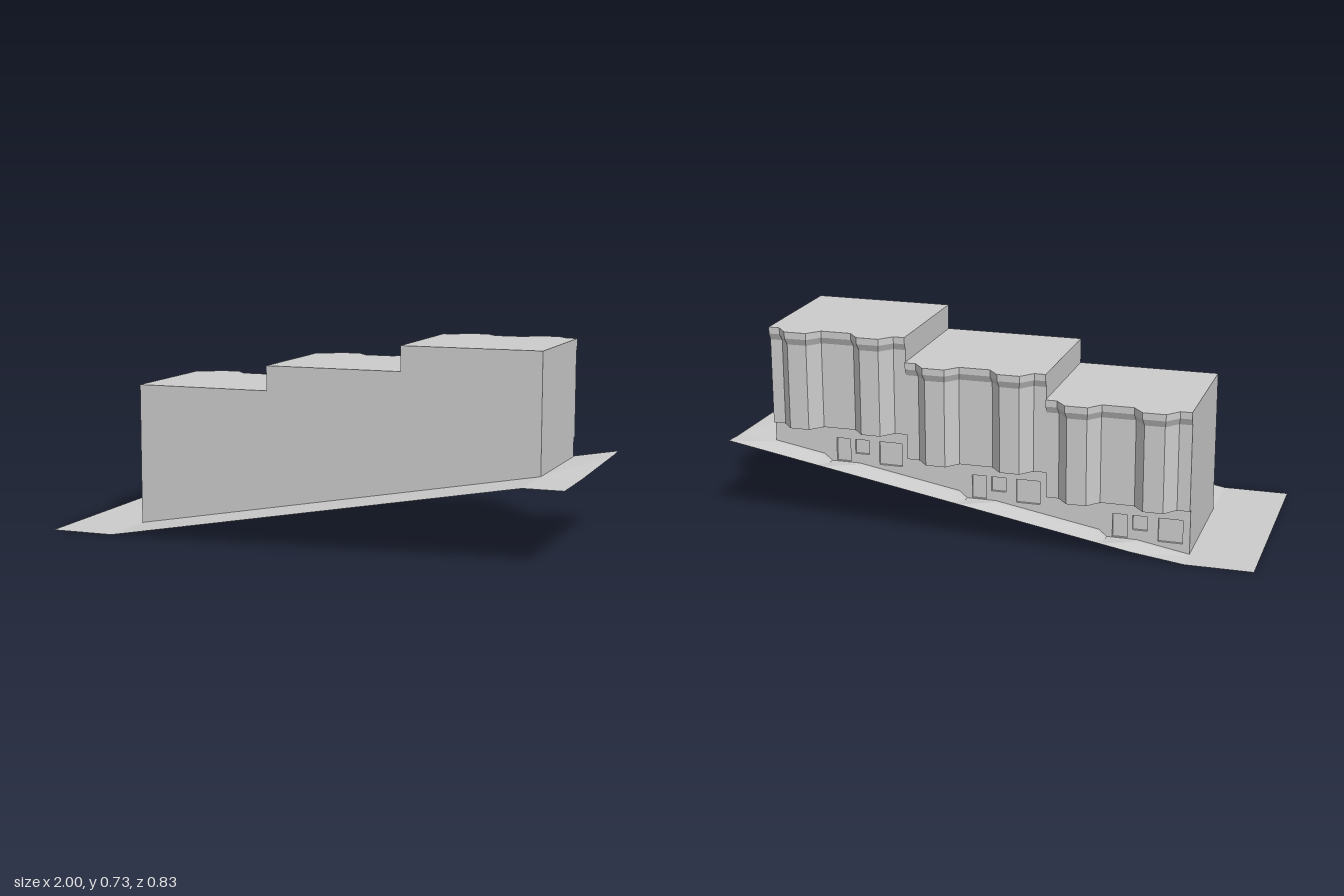
import * as THREE from 'three';

const X0 = -0.75, X1 = 0.85, W = (X1 - X0) / 3;      // three terraced houses along x
const FRONT = 0.165, BASE = -0.315, WALL = -0.33, CORNICE = -0.342, BAY = 0.049;
const RISE = 0.095;                                  // step from house to house
const roofY = i => 0.544 + RISE * i;
const soffitY = i => 0.169 + RISE * i;
const centre = i => X0 + W * (i + 0.5);
const slope = x => 0.284 * THREE.MathUtils.clamp((x - X0) / (X1 - X0), 0, 1);

// Ground stations along x: [x, height beside the rear wall], with a level terrace at each rear door
const stations = [[-1, 0], [X0, 0]];
for (let i = 0; i < 3; i++) {
  const c = centre(i), level = slope(c - 0.07);
  stations.push([c - 0.07, level], [c + 0.04, level], [c + 0.07, slope(c + 0.07)]);
}
stations.push([X1, slope(X1)], [1, 0.294]);

export function createModel() {
  const group = new THREE.Group();
  const grey = new THREE.MeshStandardMaterial({ color: 0xcccccc, side: THREE.DoubleSide });
  grey.name = 'plain grey';

  const add = (name, geometry) => {
    const mesh = new THREE.Mesh(geometry, grey);
    mesh.name = name;
    group.add(mesh);
    return mesh;
  };
  const shapeOf = pts => new THREE.Shape(pts.map(p => new THREE.Vector2(...p)));

  // Flat sheets: z-y outline at a given x, and x-z outline at a given y
  const sideSheet = (name, x, pts) => {
    const mesh = add(name, new THREE.ShapeGeometry(shapeOf(pts.map(([z, y]) => [-z, y]))));
    mesh.rotation.y = Math.PI / 2;
    mesh.position.x = x;
  };
  const levelSheet = (name, y, pts) => {
    const mesh = add(name, new THREE.ShapeGeometry(shapeOf(pts.map(([x, z]) => [x, -z]))));
    mesh.rotation.x = -Math.PI / 2;
    mesh.position.y = y;
  };

  // Flat-shaded surface between rows of points
  const sheet = (name, rows, skip = () => false) => {
    const pos = [];
    for (let r = 0; r < rows.length - 1; r++) {
      for (let k = 0; k < rows[r].length - 1; k++) {
        if (skip(r, k)) continue;
        const a = rows[r][k], b = rows[r][k + 1], c = rows[r + 1][k + 1], d = rows[r + 1][k];
        pos.push(...a, ...b, ...c, ...a, ...c, ...d);
      }
    }
    const g = new THREE.BufferGeometry();
    g.setAttribute('position', new THREE.Float32BufferAttribute(pos, 3));
    g.computeVertexNormals();
    add(name, g);
  };

  // Sloping ground with an opening under the houses
  const last = stations.length - 1;
  const edgeY = x => 0.3 * THREE.MathUtils.clamp((x + 0.7) / 1.7, 0, 1);
  sheet('ground', [
    stations.map(([x]) => [x, slope(x), 0.417]),
    stations.map(([x]) => [x, slope(x), FRONT]),
    stations.map(([x, y]) => [x, y, BASE]),
    stations.map(([x, y]) => [x, y, -0.335]),
    stations.map(([x]) => [x, edgeY(x), -0.417])
  ], (r, k) => r === 1 && k > 0 && k < last - 1);

  // Front wall with stepped top
  const stepTop = topY => [2, 1, 0].flatMap(i =>
    [[X0 + W * (i + 1), topY(i)], [X0 + W * i, topY(i)]]);
  const front = add('frontWall', new THREE.ShapeGeometry(shapeOf([
    [X0, 0], [X1, slope(X1)], ...stepTop(roofY)])));
  front.position.z = FRONT;

  // Rear ground-floor wall, with openings for a door, a window and a wide door per house
  const rearShape = shapeOf([...stations.slice(1, last), ...stepTop(soffitY)]);
  for (let i = 0; i < 3; i++) {
    const b = slope(centre(i) - 0.07) + 0.002;
    [['rearDoor', -0.035, 0.02, 0], ['rearWindow', -0.11, -0.055, 0.035], ['wideDoor', -0.24, -0.15, 0]]
      .forEach(([name, l, r, sill]) => {
        const x0 = centre(i) + l, x1 = centre(i) + r, y0 = b + sill, y1 = b + 0.09;
        rearShape.holes.push(new THREE.Path([[x0, y0], [x0, y1], [x1, y1], [x1, y0]]
          .map(p => new THREE.Vector2(...p))));
        const panel = add(name, new THREE.PlaneGeometry(x1 - x0, y1 - y0));
        panel.rotation.y = Math.PI;
        panel.position.set((x0 + x1) / 2, (y0 + y1) / 2, BASE + 0.0095);
      });
  }
  const rear = add('rearGroundFloorWall', new THREE.ExtrudeGeometry(rearShape, { depth: 0.01, bevelEnabled: false }));
  rear.position.z = BASE;

  // Rear outline of one house: two splayed bays
  const outline = (i, z, grow) => {
    const pts = [[X0 + W * i, z]];
    for (const f of [0.235, 0.765]) {
      const c = X0 + W * (i + f);
      pts.push([c - 0.078 - grow, z], [c - 0.037 - grow, z - BAY],
        [c + 0.037 + grow, z - BAY], [c + 0.078 + grow, z]);
    }
    pts.push([X0 + W * (i + 1), z]);
    return pts;
  };

  for (let i = 0; i < 3; i++) {
    const top = roofY(i), low = soffitY(i), xa = X0 + W * i, xb = xa + W;

    // Bay facade, with a splayed cornice at the top
    const levels = [[low, WALL, 0], [top - 0.05, WALL, 0], [top - 0.025, CORNICE, 0.005], [top, CORNICE, 0.005]];
    const rows = levels.map(([y, z, grow]) => outline(i, z, grow).map(([x, zz]) => [x, y, zz]));
    sheet('bayFacade', rows.slice(0, 2).reverse());
    sheet('cornice', rows.slice(1).reverse());

    levelSheet('roof', top, [[xa, FRONT], ...outline(i, CORNICE, 0.005), [xb, FRONT]]);
    levelSheet('overhangSoffit', low, [[xa, BASE], ...outline(i, WALL, 0), [xb, BASE]]);

    // Ends of the overhang and cornice
    for (const x of [xa, xb]) {
      sideSheet('overhangEnd', x, [[BASE, low], [WALL, low], [WALL, top - 0.05],
        [CORNICE, top - 0.025], [CORNICE, top], [BASE, top]]);
    }
    // Exposed side wall: down to the ground at the low end, otherwise to the next roof
    const bottom = i === 0 ? 0 : roofY(i - 1);
    sideSheet('sideWall', xa, [[FRONT, bottom], [BASE, bottom], [BASE, top], [FRONT, top]]);

    // Shallow niche on the inner face of the front wall
    const niche = add('frontNiche', new THREE.BoxGeometry(0.05, 0.09, 0.006));
    niche.position.set(centre(i) - 0.143, 0.086 + RISE * i, FRONT - 0.0045);
  }
  sideSheet('sideWall', X1, [[FRONT, slope(X1)], [BASE, slope(X1)], [BASE, roofY(2)], [FRONT, roofY(2)]]);

  return group;
}
